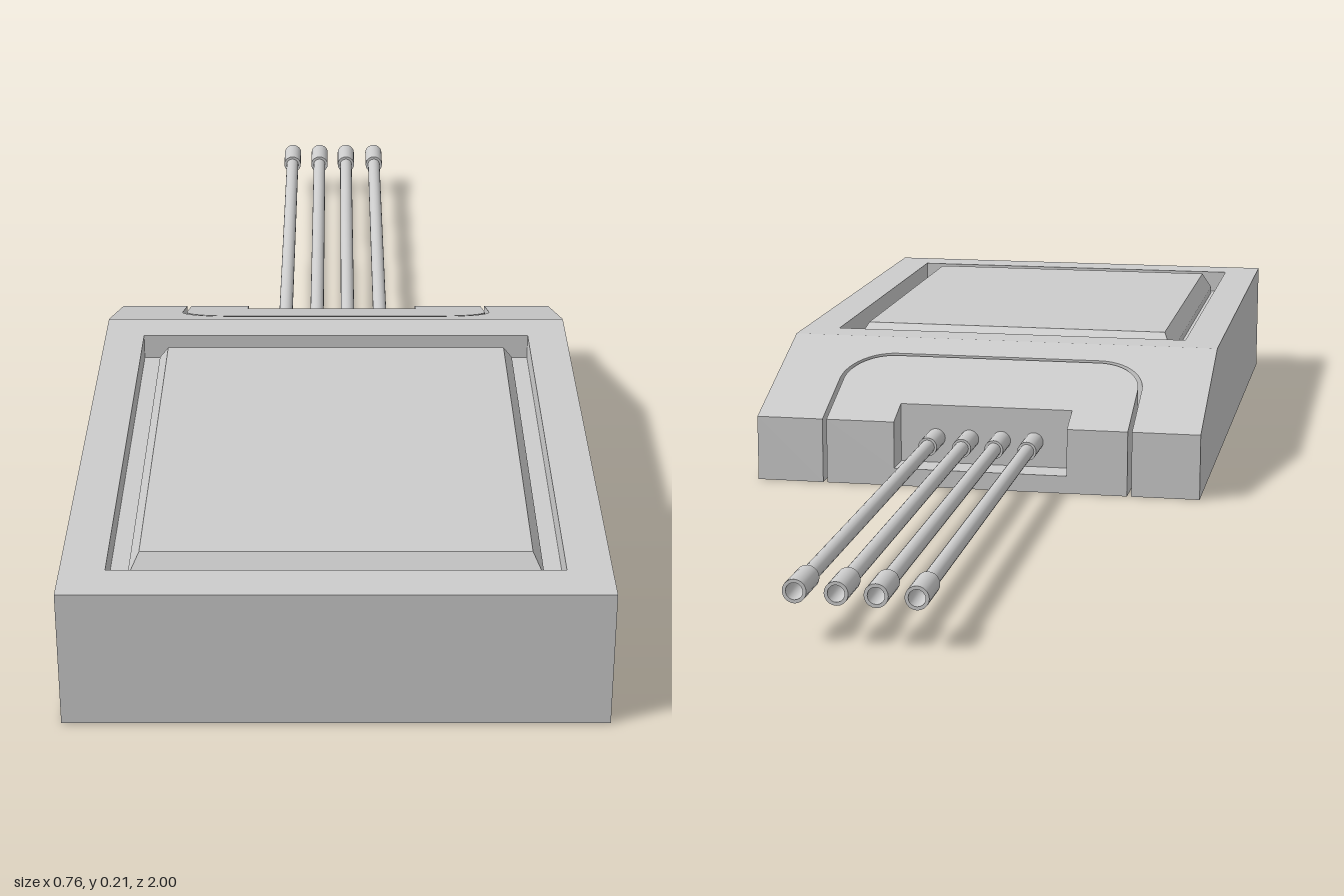
import * as THREE from 'three';

const material = new THREE.MeshStandardMaterial({ color: 0xcccccc });

// Height of the sloping rear deck at depth z
const slopeY = (z) => 0.11 + ((z + 0.14) / 0.26) * 0.095;

export function createModel() {
  const model = new THREE.Group();

  const add = (name, geometry, parent = model) => {
    const mesh = new THREE.Mesh(geometry, material);
    mesh.name = name;
    parent.add(mesh);
    return mesh;
  };

  const outline = (points) => new THREE.Shape(points.map(([x, z]) => new THREE.Vector2(x, z)));
  const rect = (w, z0, z1) => outline([[-w, z0], [w, z0], [w, z1], [-w, z1]]);

  // Raises a plan shape (x, z) from y0 to y1; sloped tops follow the rear deck
  const raise = (shape, y0, y1, sloped = false) => {
    let g = new THREE.ExtrudeGeometry(shape, { depth: y1 - y0, bevelEnabled: false, curveSegments: 10 });
    g.rotateX(Math.PI / 2).translate(0, y1, 0);
    if (sloped) {
      const p = g.attributes.position;
      for (let i = 0; i < p.count; i++) if (p.getY(i) > y1 - 1e-4) p.setY(i, slopeY(p.getZ(i)));
      g.computeVertexNormals();
    }
    return g;
  };

  // Front housing: solid floor with a rectangular rim round the screen recess
  const floorY = 0.165;
  add('housingBase', raise(rect(0.378, 0.12, 1), 0, floorY));
  const rim = rect(0.378, 0.12, 1);
  rim.holes.push(rect(0.315, 0.185, 0.935));
  add('housingRim', raise(rim, floorY, 0.205));

  // Screen panel: low upright foot and a bevelled top
  add('screenFoot', raise(rect(0.288, 0.21, 0.91), floorY, 0.178));
  const bevel = new THREE.BoxGeometry(2, 0.03, 2);
  const p = bevel.attributes.position;
  for (let i = 0; i < p.count; i++) {
    const top = p.getY(i) > 0;
    p.setX(i, p.getX(i) * (top ? 0.272 : 0.288));
    p.setZ(i, p.getZ(i) > 0 ? (top ? 0.89 : 0.91) : (top ? 0.237 : 0.21));
  }
  bevel.translate(0, 0.193, 0);
  bevel.computeVertexNormals();
  add('screenPanel', bevel);

  // Rear housing with a round-cornered bay for the connector plug
  const w = 0.264, end = 0.068, r = 0.085;
  const rear = new THREE.Shape();
  rear.moveTo(-0.378, -0.14);
  rear.lineTo(-w, -0.14);
  rear.lineTo(-w, end - r);
  rear.absarc(-w + r, end - r, r, Math.PI, Math.PI / 2, true);
  rear.absarc(w - r, end - r, r, Math.PI / 2, 0, true);
  rear.lineTo(w, -0.14);
  rear.lineTo(0.378, -0.14);
  rear.lineTo(0.378, 0.12);
  rear.lineTo(-0.378, 0.12);
  add('rearHousing', raise(rear, 0, 0.205, true));

  // Connector plug, separated from the bay by a thin gap, with a cable notch
  const plugShape = (notched) => {
    const pw = w - 0.007, pe = end - 0.007, pr = r - 0.007;
    const s = new THREE.Shape();
    s.moveTo(-pw, -0.14);
    if (notched) {
      s.lineTo(-0.155, -0.14);
      s.lineTo(-0.155, -0.085);
      s.lineTo(0.14, -0.085);
      s.lineTo(0.14, -0.14);
    }
    s.lineTo(pw, -0.14);
    s.lineTo(pw, pe - pr);
    s.absarc(pw - pr, pe - pr, pr, 0, Math.PI / 2, false);
    s.absarc(-pw + pr, pe - pr, pr, Math.PI / 2, Math.PI, false);
    return s;
  };
  add('plugBase', raise(plugShape(false), 0, 0.03));
  add('plugBody', raise(plugShape(true), 0.03, 0.2, true));

  // Four wires, each with a collar at the plug and an open sleeve at the tip
  const rod = (radius, z0, z1) =>
    new THREE.CylinderGeometry(radius, radius, z1 - z0, 20).rotateX(Math.PI / 2).translate(0, 0, (z0 + z1) / 2);
  const sleeve = new THREE.LatheGeometry(
    [[0.011, 0.93], [0.017, 0.93], [0.017, 0.93], [0.017, 1], [0.017, 1], [0.012, 1], [0.012, 1], [0.012, 0.95], [0, 0.95]]
      .map(([x, y]) => new THREE.Vector2(x, y)), 20).rotateX(-Math.PI / 2);
  for (const x of [-0.09, -0.034, 0.021, 0.079]) {
    const wire = new THREE.Group();
    wire.name = 'wire';
    wire.position.set(x, 0.073, 0);
    add('wireCollar', rod(0.016, -0.155, -0.08), wire);
    add('wireCore', rod(0.012, -0.94, -0.15), wire);
    add('wireSleeve', sleeve, wire);
    model.add(wire);
  }

  return model;
}
